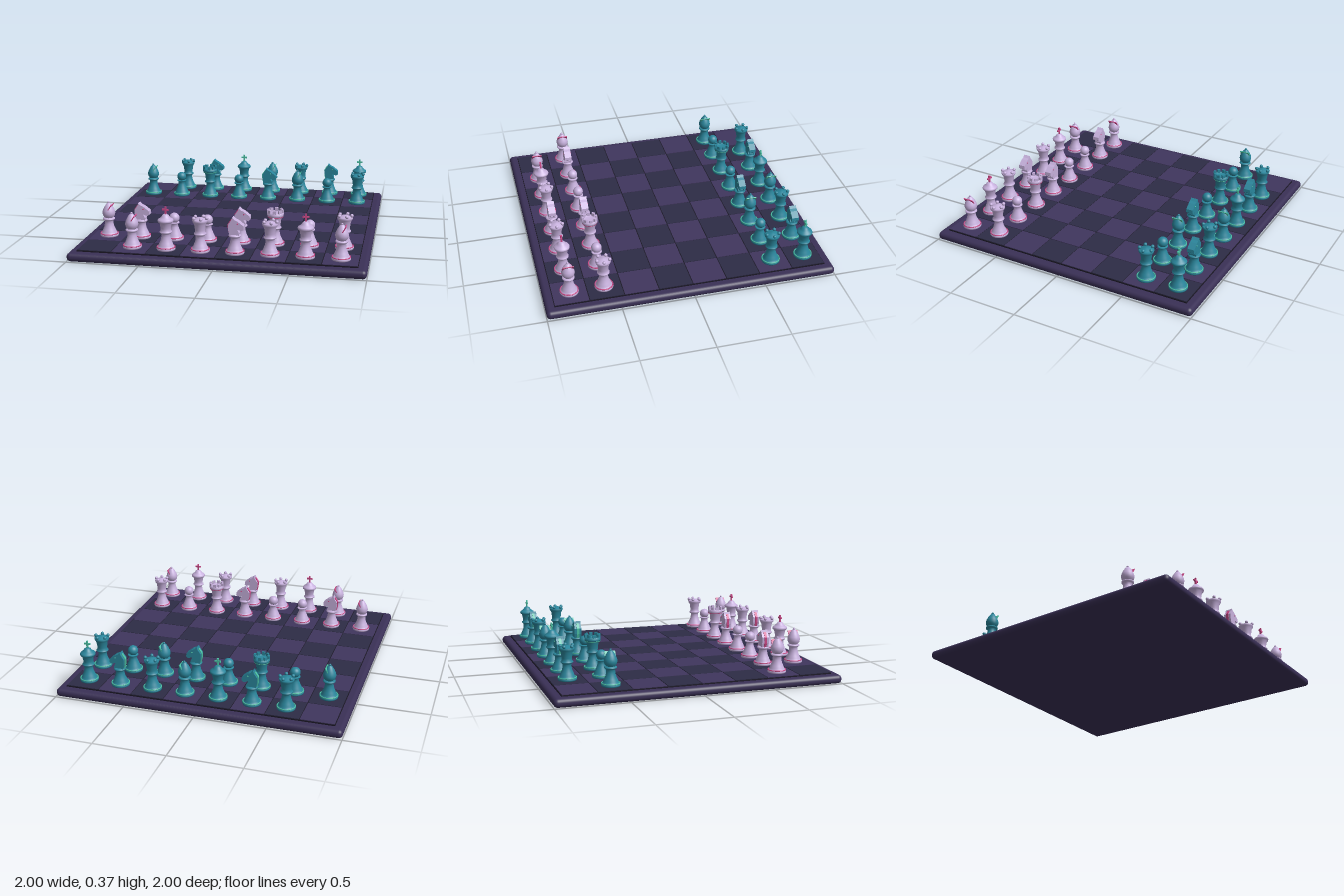
import * as THREE from 'three';
import { RoundedBoxGeometry } from 'three/addons/geometries/RoundedBoxGeometry.js';

const mat = (name, color, side = THREE.FrontSide) => {
  const m = new THREE.MeshStandardMaterial({ color, side });
  m.name = name;
  return m;
};

function add(parent, name, geometry, material, x = 0, y = 0, z = 0) {
  const mesh = new THREE.Mesh(geometry, material);
  mesh.name = name;
  mesh.position.set(x, y, z);
  parent.add(mesh);
  return mesh;
}

const lathe = (points, segments = 28) =>
  new THREE.LatheGeometry(points.map(([r, y]) => new THREE.Vector2(r, y)), segments);
const box = (w, h, d) => new THREE.BoxGeometry(w, h, d);

// Shared turned foot and stem; each piece's head sits on top
const FOOT = [[0, 0], [0.062, 0], [0.064, 0.006], [0.064, 0.014], [0.06, 0.018], [0.053, 0.022],
  [0.05, 0.032], [0.042, 0.05], [0.034, 0.07]];
const STEM = [...FOOT, [0.03, 0.09], [0.029, 0.108], [0.036, 0.114], [0.042, 0.12], [0.042, 0.126], [0.034, 0.132]];

const BUILDERS = {
  pawn(g, body) {
    add(g, 'stem', lathe([...FOOT, [0.027, 0.09], [0.024, 0.11], [0.036, 0.116], [0.036, 0.122], [0, 0.127]]), body);
    add(g, 'head', new THREE.SphereGeometry(0.036, 24, 16), body, 0, 0.152, 0);
  },

  bishop(g, body, trim) {
    add(g, 'stem', lathe([...STEM, [0, 0.135]]), body);
    add(g, 'mitre', lathe([[0.028, 0.13], [0.04, 0.145], [0.045, 0.165], [0.041, 0.185],
      [0.03, 0.208], [0.016, 0.23], [0, 0.24]]), body);
    add(g, 'mitreTip', new THREE.SphereGeometry(0.008, 12, 8), body, 0, 0.24, 0);
    add(g, 'mitreSlit', box(0.006, 0.05, 0.074), trim, 0.012, 0.203, 0).rotation.z = -0.55;
  },

  rook(g, body, trim) {
    add(g, 'tower', lathe([...STEM, [0.036, 0.15], [0.042, 0.195], [0.054, 0.203], [0.056, 0.21],
      [0.056, 0.228], [0.043, 0.228], [0.043, 0.218], [0, 0.218]]), body);
    ring(g, 'crownBand', 0.05, 0.2, trim);
    for (let i = 0; i < 8; i++) {
      const a = (i / 8) * Math.PI * 2;
      add(g, 'battlement', box(0.015, 0.024, 0.022), body,
        0.048 * Math.cos(a), 0.237, 0.048 * Math.sin(a)).rotation.y = -a;
    }
  },

  knight(g, body, trim) {
    add(g, 'stem', lathe([...STEM, [0, 0.135]]), body);
    const profile = [[-0.03, 0.122], [0.03, 0.122], [0.032, 0.145], [0.02, 0.17], [0.052, 0.162],
      [0.064, 0.172], [0.062, 0.195], [0.022, 0.226], [0.002, 0.235], [-0.014, 0.25], [-0.02, 0.232], [-0.042, 0.2], [-0.04, 0.16]];
    const head = new THREE.ExtrudeGeometry(
      new THREE.Shape(profile.map(([x, y]) => new THREE.Vector2(x, y))), { depth: 0.05, bevelEnabled: false });
    head.translate(0, 0, -0.025);
    add(g, 'horseHead', head, body);
    // Mane strips down the back of the neck
    const back = [[-0.02, 0.234], [-0.043, 0.2], [-0.041, 0.16], [-0.031, 0.124]];
    for (let i = 0; i < 3; i++) {
      const [x1, y1] = back[i], [x2, y2] = back[i + 1];
      add(g, 'mane', box(0.008, Math.hypot(x2 - x1, y2 - y1), 0.018), trim, (x1 + x2) / 2, (y1 + y2) / 2, 0)
        .rotation.z = Math.atan2(x1 - x2, y1 - y2) * -1;
    }
    for (const s of [-1, 1]) add(g, 'eye', new THREE.SphereGeometry(0.005, 10, 8), trim, 0.022, 0.208, s * 0.025);
  },

  queen(g, body) {
    add(g, 'stem', lathe([...STEM, [0.034, 0.15], [0.04, 0.19], [0.05, 0.205], [0.053, 0.218],
      [0.046, 0.222], [0.035, 0.222], [0.022, 0.232], [0, 0.235]]), body);
    for (let i = 0; i < 5; i++) {
      const a = (i / 5) * Math.PI * 2;
      add(g, 'crownPearl', new THREE.SphereGeometry(0.012, 14, 10), body,
        0.045 * Math.cos(a), 0.231, 0.045 * Math.sin(a));
    }
  },

  king(g, body, trim) {
    add(g, 'stem', lathe([...STEM, [0.034, 0.15], [0.041, 0.185], [0.052, 0.193], [0.054, 0.202],
      [0.05, 0.21], [0.038, 0.218], [0.027, 0.228], [0.022, 0.238], [0.012, 0.245], [0, 0.246]]), body);
    add(g, 'crossUpright', box(0.011, 0.056, 0.011), trim, 0, 0.268, 0);
    add(g, 'crossArm', box(0.044, 0.011, 0.011), trim, 0, 0.275, 0);
  },
};

function ring(g, name, radius, y, material) {
  add(g, name, new THREE.TorusGeometry(radius, 0.004, 8, 32), material, 0, y, 0).rotation.x = Math.PI / 2;
}

export function createModel() {
  const model = new THREE.Group();
  model.name = 'chessSet';
  const frame = mat('frame purple', 0x3a3056);
  const line = mat('grid line', 0x1b1826);
  const light = mat('light square', 0x40365e);
  const dark = mat('dark square', 0x2d2c46);
  const teams = {
    teal: [mat('teal', 0x2a869c, THREE.DoubleSide), mat('green trim', 0x4cc0a4)],
    lilac: [mat('lilac', 0xc6b0dc, THREE.DoubleSide), mat('pink trim', 0xcc4a88)],
  };

  // Board
  const board = new THREE.Group();
  board.name = 'board';
  model.add(board);
  add(board, 'frame', new RoundedBoxGeometry(2, 0.06, 2, 5, 0.028), frame, 0, 0.03, 0);
  add(board, 'gridPlate', box(1.882, 0.01, 1.882), line, 0, 0.063, 0);
  const step = 0.235;
  const at = (i) => (i - 3.5) * step;
  for (let i = 0; i < 8; i++) {
    for (let j = 0; j < 8; j++) {
      add(board, 'square', box(step - 0.006, 0.01, step - 0.006),
        (i + j) % 2 ? dark : light, at(i), 0.067, at(j));
    }
  }

  // Pieces, one letter per square of each occupied rank
  const kinds = { p: 'pawn', b: 'bishop', r: 'rook', n: 'knight', q: 'queen', k: 'king' };
  const ranks = [
    [0, 'teal', '.qnkbqnk'], [1, 'teal', 'bprpnbpq'],
    [6, 'lilac', 'bnppnrpq'], [7, 'lilac', '.bkqnqkb'],
  ];
  for (const [row, team, letters] of ranks) {
    [...letters].forEach((letter, col) => {
      if (letter === '.') return;
      const [body, trim] = teams[team];
      const piece = new THREE.Group();
      piece.name = `${team} ${kinds[letter]}`;
      BUILDERS[kinds[letter]](piece, body, trim);
      ring(piece, 'footBand', 0.06, 0.019, trim);
      piece.position.set(at(col), 0.073, at(row));
      model.add(piece);
    });
  }
  return model;
}
